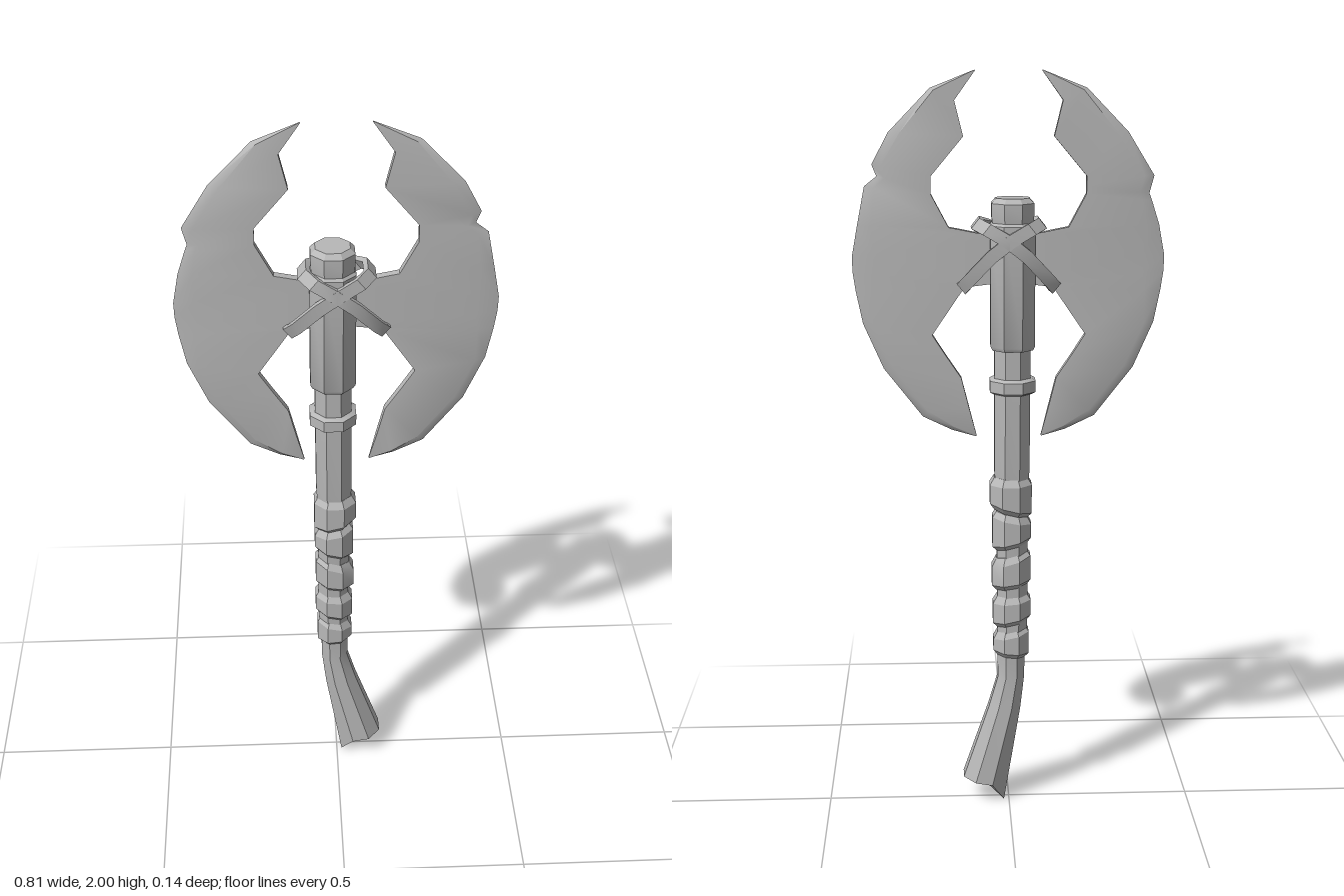
import * as THREE from 'three';
import { toCreasedNormals } from 'three/addons/utils/BufferGeometryUtils.js';

// Skin a list of equal-length point rings; ends are capped unless the loft is closed.
function loft(rings, closed = false, crease = 0.5) {
  const tris = [];
  const n = rings[0].length;
  const last = closed ? rings.length : rings.length - 1;
  for (let i = 0; i < last; i++) {
    const a = rings[i], b = rings[(i + 1) % rings.length];
    for (let j = 0; j < n; j++) {
      const k = (j + 1) % n;
      tris.push([a[j], b[j], b[k]], [a[j], b[k], a[k]]);
    }
  }
  if (!closed) {
    for (const [ring, flip] of [[rings[0], false], [rings[rings.length - 1], true]]) {
      const c = new THREE.Vector3();
      ring.forEach((p) => c.addScaledVector(p, 1 / n));
      for (let j = 0; j < n; j++) {
        const k = (j + 1) % n;
        tris.push(flip ? [c, ring[k], ring[j]] : [c, ring[j], ring[k]]);
      }
    }
  }
  // Turn the faces outward if the enclosed volume is negative
  let volume = 0;
  const cross = new THREE.Vector3();
  for (const [a, b, c] of tris) volume += a.dot(cross.crossVectors(b, c));
  if (volume < 0) tris.forEach((t) => t.reverse());
  const geo = new THREE.BufferGeometry().setFromPoints(tris.flat());
  geo.computeVertexNormals();
  return toCreasedNormals(geo, crease);
}

// Eight-sided section: centre x, height, half width, tilt, and drop of the -x side
function octagon([x, y, r, tilt = 0, dip = 0]) {
  const pts = [];
  for (let i = 0; i < 8; i++) {
    const a = (i + 0.5) * Math.PI / 4;
    const R = r / Math.cos(Math.PI / 8);
    const dx = R * Math.cos(a);
    const drop = dx < -0.9 * r ? dip : 0;
    pts.push(new THREE.Vector3(x + dx, y + tilt * dx - drop, R * Math.sin(a)));
  }
  return pts;
}

export function createModel() {
  const group = new THREE.Group();
  const metal = new THREE.MeshStandardMaterial({ color: 0xb8b8b8 });
  metal.name = 'grey';
  const add = (name, geo) => {
    const mesh = new THREE.Mesh(geo, metal);
    mesh.name = name;
    group.add(mesh);
  };
  const column = (name, rows) => add(name, loft(rows.map(octagon)));

  // Shaft with flared, notched foot
  column('shaft', [
    [0.07, 0.065, 0.056, 0.18, 0.05], [0.012, 0.28, 0.043, 0.08],
    [-0.006, 0.37, 0.036], [-0.006, 0.43, 0.037], [-0.01, 0.55, 0.041],
    [-0.008, 0.9, 0.042], [-0.008, 0.96, 0.047], [-0.01, 1.31, 0.047],
  ]);
  column('upperSleeve', [
    [-0.01, 1.285, 0.053], [-0.01, 1.295, 0.058],
    [-0.01, 1.61, 0.058], [-0.01, 1.62, 0.05],
  ]);
  column('cap', [
    [-0.01, 1.6, 0.05], [-0.01, 1.635, 0.055],
    [-0.01, 1.667, 0.055], [-0.01, 1.68, 0.043],
  ]);
  column('shaftRing', [
    [-0.01, 1.168, 0.05], [-0.01, 1.174, 0.06],
    [-0.01, 1.204, 0.06], [-0.01, 1.21, 0.05],
  ]);

  // Tilted grip wraps: centre x, bottom, top, half width, bottom tilt, top tilt
  const wraps = [
    [-0.005, 0.84, 0.94, 0.056, 0.25, 0],
    [-0.008, 0.745, 0.84, 0.052, -0.25, 0.2],
    [-0.006, 0.63, 0.725, 0.052, -0.15, -0.3],
    [-0.008, 0.525, 0.61, 0.051, -0.22, -0.1],
    [-0.006, 0.43, 0.512, 0.048, 0.1, -0.22],
  ];
  for (const [x, y0, y1, r, t0, t1] of wraps) {
    column('gripWrap', [
      [x, y0, r - 0.012, t0], [x, y0 + 0.015, r, t0],
      [x, y1 - 0.02, r, t1], [x, y1, r - 0.012, t1],
    ]);
  }

  // Blade sections from top to bottom: inner x, y, outer x, y
  const sections = [
    [0.085, 1.998, 0.086, 2.0], [0.138, 1.925, 0.2, 1.955],
    [0.116, 1.835, 0.307, 1.845], [0.2, 1.735, 0.35, 1.765],
    [0.2, 1.71, 0.338, 1.735], [0.2, 1.69, 0.37, 1.71],
    [0.155, 1.605, 0.39, 1.61], [0.03, 1.58, 0.405, 1.53],
    [0.03, 1.46, 0.404, 1.49], [0.115, 1.45, 0.397, 1.44],
    [0.2, 1.325, 0.38, 1.355], [0.165, 1.27, 0.328, 1.235],
    [0.125, 1.21, 0.227, 1.105], [0.105, 1.13, 0.15, 1.068],
    [0.085, 1.052, 0.088, 1.05],
  ];
  // The notch sits lower on the right blade
  const lowNotch = { 3: [0.375, 1.735], 4: [0.363, 1.69], 5: [0.37, 1.672] };
  const blade = (name, side, notch) => {
    const rings = sections.map(([ix, iy, ox, oy], i) => {
      if (notch[i]) [ox, oy] = notch[i];
      const z = i === 0 || i === sections.length - 1 ? 0.002 : 0.011;
      const at = (f, d) => new THREE.Vector3(
        side * (ix + (ox - ix) * f), iy + (oy - iy) * f, d);
      return [at(0, z), at(0.85, z), at(1, 0), at(0.85, -z), at(0, -z)];
    });
    add(name, loft(rings, false, 0.7));
  };
  blade('leftBlade', 1, {});
  blade('rightBlade', -1, lowNotch);

  // Two closed straps crossing in front and behind, each looping under a blade
  const half = [
    [-0.08, 1.612, 0.025], [-0.055, 1.603, 0.056], [-0.005, 1.575, 0.063],
    [0.045, 1.535, 0.055], [0.1, 1.475, 0.035], [0.118, 1.452, 0.018],
  ];
  for (const side of [1, -1]) {
    const path = [
      ...half.map(([x, y, z]) => new THREE.Vector3(side * x, y, z)),
      ...half.slice().reverse().map(([x, y, z]) => new THREE.Vector3(side * x, y, -z)),
    ];
    const across = new THREE.Vector3(side * 0.16, 0.2, 0).normalize();
    const rings = path.map((p, i) => {
      const next = path[(i + 1) % path.length];
      const prev = path[(i + path.length - 1) % path.length];
      const out = next.clone().sub(prev).cross(across).normalize();
      if (out.z * p.z < 0) out.negate();
      const corner = (w, t) => p.clone().addScaledVector(across, w).addScaledVector(out, t);
      return [corner(-0.017, -0.006), corner(0.017, -0.006),
        corner(0.017, 0.009), corner(-0.017, 0.009)];
    });
    add(side > 0 ? 'leftStrap' : 'rightStrap', loft(rings, true));
  }
  return group;
}
